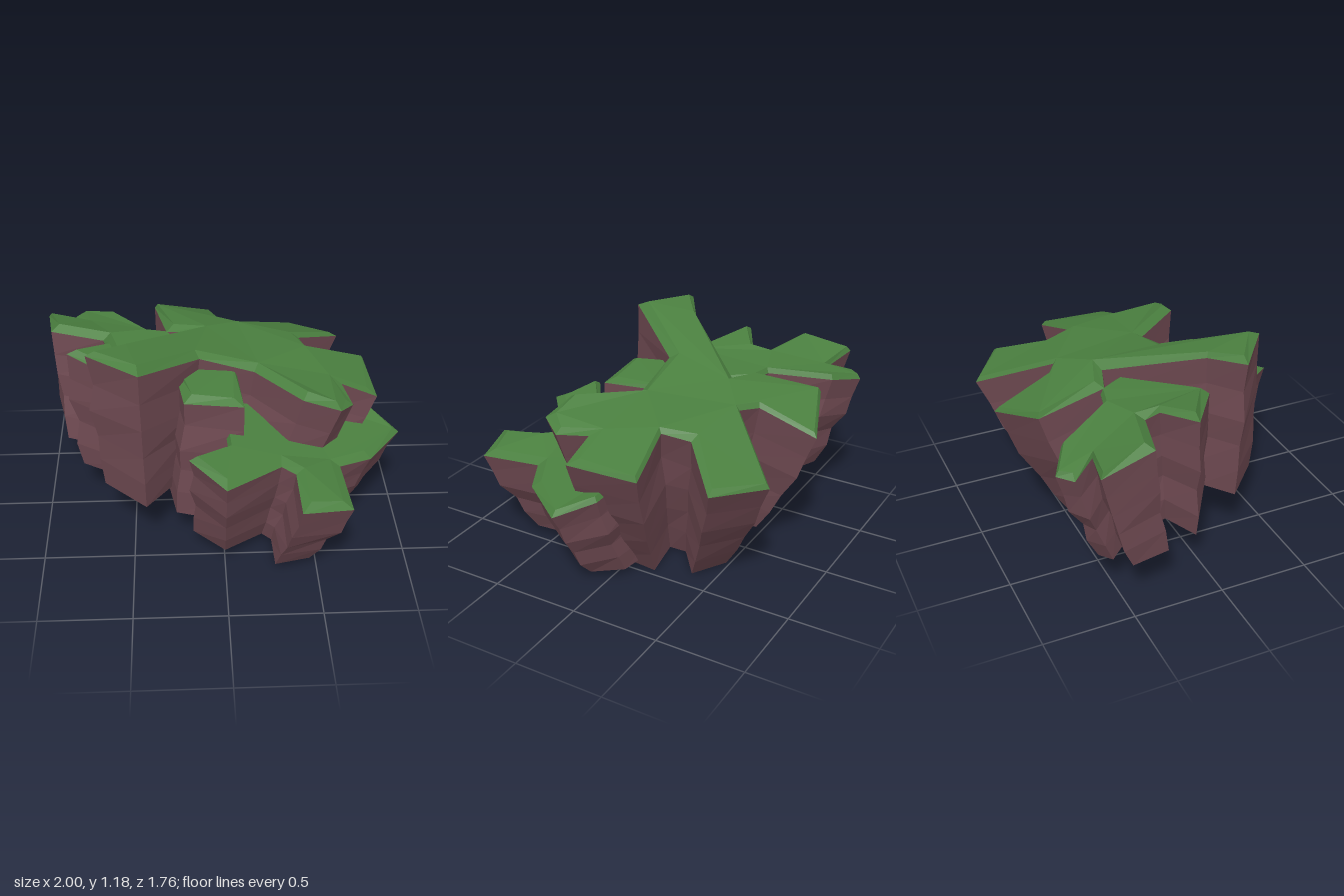
import * as THREE from 'three';

const grass = new THREE.MeshStandardMaterial({ color: 0x4a7f3f });
grass.name = 'grass green';
const stone = new THREE.MeshStandardMaterial({ color: 0x6e4951 });
stone.name = 'reddish stone';

// Small repeatable noise in -1..1
let seed = 7;
const noise = () => {
  seed = (seed * 16807) % 2147483647;
  return (seed / 2147483647) * 2 - 1;
};

// Linear ramp from y0 at x0 to y1 at x1, flat beyond both ends
const ramp = (x, x0, y0, x1, y1) =>
  THREE.MathUtils.lerp(y0, y1, THREE.MathUtils.clamp((x - x0) / (x1 - x0), 0, 1));

// Flat-shaded mesh from a list of triangle corners
function facets(points, material, name) {
  const geometry = new THREE.BufferGeometry().setFromPoints(points);
  geometry.computeVertexNormals();
  const mesh = new THREE.Mesh(geometry, material);
  mesh.name = name;
  return mesh;
}

// Strip of quads between two closed rings
function strip(out, upper, lower) {
  upper.forEach((a, i) => {
    const j = (i + 1) % upper.length;
    out.push(lower[i], lower[j], upper[j], lower[i], upper[j], a);
  });
}

// Inward corner direction of an outline, seen from above
function inwardDirections(rim) {
  const n = rim.length;
  const edgeNormal = (a, b) => new THREE.Vector2(b.z - a.z, a.x - b.x).normalize();
  return rim.map((p, i) => {
    const n1 = edgeNormal(rim[(i + n - 1) % n], p);
    const n2 = edgeNormal(p, rim[(i + 1) % n]);
    const k = 1 / Math.max(0.45, 1 + n1.dot(n2));
    return new THREE.Vector3((n1.x + n2.x) * k, 0, (n1.y + n2.y) * k);
  });
}

// One cliff: bevelled grass cap over uneven stone strata; foot(x, z) gives the base under each rim corner
function cliff(name, outline, foot) {
  let rim = outline.map(([x, y, z]) => new THREE.Vector3(x, y, z));
  const flat = (ring) => ring.map((p) => new THREE.Vector2(p.x, -p.z));
  if (THREE.ShapeUtils.area(flat(rim)) < 0) rim = rim.reverse();
  const inward = inwardDirections(rim);
  const base = rim.map((p) => new THREE.Vector3(...foot(p.x, p.z)));

  const group = new THREE.Group();
  group.name = name;

  // Grass bevel and top: the bevel is steep at the back and wide at the front
  const crown = rim.map((p, i) =>
    p.clone().addScaledVector(inward[i], ramp(inward[i].z, -0.6, 0.05, 0.6, 0.015)).setY(p.y + 0.03));
  const cap = [];
  strip(cap, crown, rim);
  THREE.ShapeUtils.triangulateShape(flat(crown), []).forEach((f) => f.forEach((i) => cap.push(crown[i])));
  group.add(facets(cap, grass, name + 'Grass'));

  // Stone strata
  const wall = [];
  const layers = 5;
  let upper = rim;
  for (let k = 1; k <= layers; k++) {
    const t = k / layers;
    const s = Math.pow(t, 1.2);
    const ledge = k === layers ? 0 : k % 2 ? 0.006 : -0.006;
    const wobble = k === layers ? 0 : 0.01;
    const lower = rim.map((p, i) => {
      const q = p.clone().lerp(base[i], s);
      q.y = THREE.MathUtils.lerp(p.y, base[i].y, t) + noise() * wobble;
      return q.addScaledVector(inward[i], ledge + noise() * wobble);
    });
    strip(wall, upper, lower);
    upper = lower;
  }
  // Underside
  THREE.ShapeUtils.triangulateShape(flat(upper), []).forEach(([a, b, c]) => wall.push(upper[a], upper[c], upper[b]));
  group.add(facets(wall, stone, name + 'Stone'));
  return group;
}

export function createModel() {
  const model = new THREE.Group();
  model.name = 'rockyCliff';

  // Central plateau with the tall front arm and the back arms
  model.add(cliff('mainPlateau', [
    [-0.72, 1.15, 0.25], [-0.44, 1.15, 0.47], [-0.12, 1.01, 0.07], [0.18, 0.92, 0.07],
    [0.42, 0.92, 0.37], [0.62, 0.87, 0.4], [0.7, 0.83, 0.28], [0.66, 0.85, 0.1],
    [0.86, 0.77, 0.11], [0.84, 0.77, -0.3], [0.5, 0.88, -0.24], [0.47, 0.86, -0.4],
    [0.73, 0.73, -0.64], [0.45, 0.7, -0.84], [0.11, 0.91, -0.49], [0.01, 0.9, -0.56],
    [-0.03, 0.78, -0.88], [-0.37, 0.89, -0.75], [-0.3, 0.94, -0.36], [-0.15, 0.96, -0.31],
    [-0.52, 1.12, 0.12],
  ], (x, z) => {
    const footX = -0.35 + (x + 0.35) * (x < -0.35 ? 0.83 : 0.68);
    const footZ = z * (z < 0 ? 0.57 : x > -0.2 ? 0.6 : 0.98);
    const y = ramp(footX, -0.45, 0.32, 0.3, 0.03) - ramp(z, -0.7, 0.13, 0, 0);
    return [footX, Math.max(0, y), footZ];
  }));

  // Left plateau with the back-left arms
  model.add(cliff('leftPlateau', [
    [-0.85, 0.97, -0.08], [-0.48, 0.9, 0.17], [-0.15, 0.9, -0.2], [-0.29, 0.91, -0.38],
    [-0.41, 0.91, -0.41], [-0.61, 0.86, -0.72], [-0.79, 0.82, -0.82], [-0.87, 0.82, -0.75],
    [-0.77, 0.86, -0.62], [-1, 0.89, -0.67], [-0.96, 0.95, -0.37], [-0.66, 0.93, -0.29],
    [-0.64, 0.94, -0.2],
  ], (x, z) => [x * 0.94, ramp(x, -0.95, 0.28, -0.85, 0.24), z * (z < 0 ? 0.72 : 0.9)]));

  // Small step between the plateau and the lower terrace
  model.add(cliff('middleStep', [
    [-0.21, 0.91, 0.36], [0.11, 0.88, 0.36], [0.08, 0.9, 0], [-0.26, 0.92, 0],
  ], (x, z) => [x < 0 ? x * 1.25 : x * 0.8, ramp(x, -0.25, 0.2, 0.1, 0.1), z]));

  // Lower front terrace
  model.add(cliff('lowerTerrace', [
    [-0.19, 0.71, 0.59], [0, 0.65, 0.78], [0.3, 0.61, 0.53], [0.37, 0.61, 0.6],
    [0.38, 0.57, 0.88], [0.65, 0.54, 0.82], [0.62, 0.56, 0.47], [0.8, 0.54, 0.38],
    [1, 0.53, 0.11], [0.84, 0.59, -0.06], [0.4, 0.64, -0.1], [0, 0.7, 0.1], [0.02, 0.68, 0.45],
  ], (x, z) => [x * (x > 0 ? 0.71 : 0.9), ramp(x, -0.15, 0.12, 0.3, 0.05), z * (z > 0 ? 0.75 : 1.1)]));

  return model;
}
